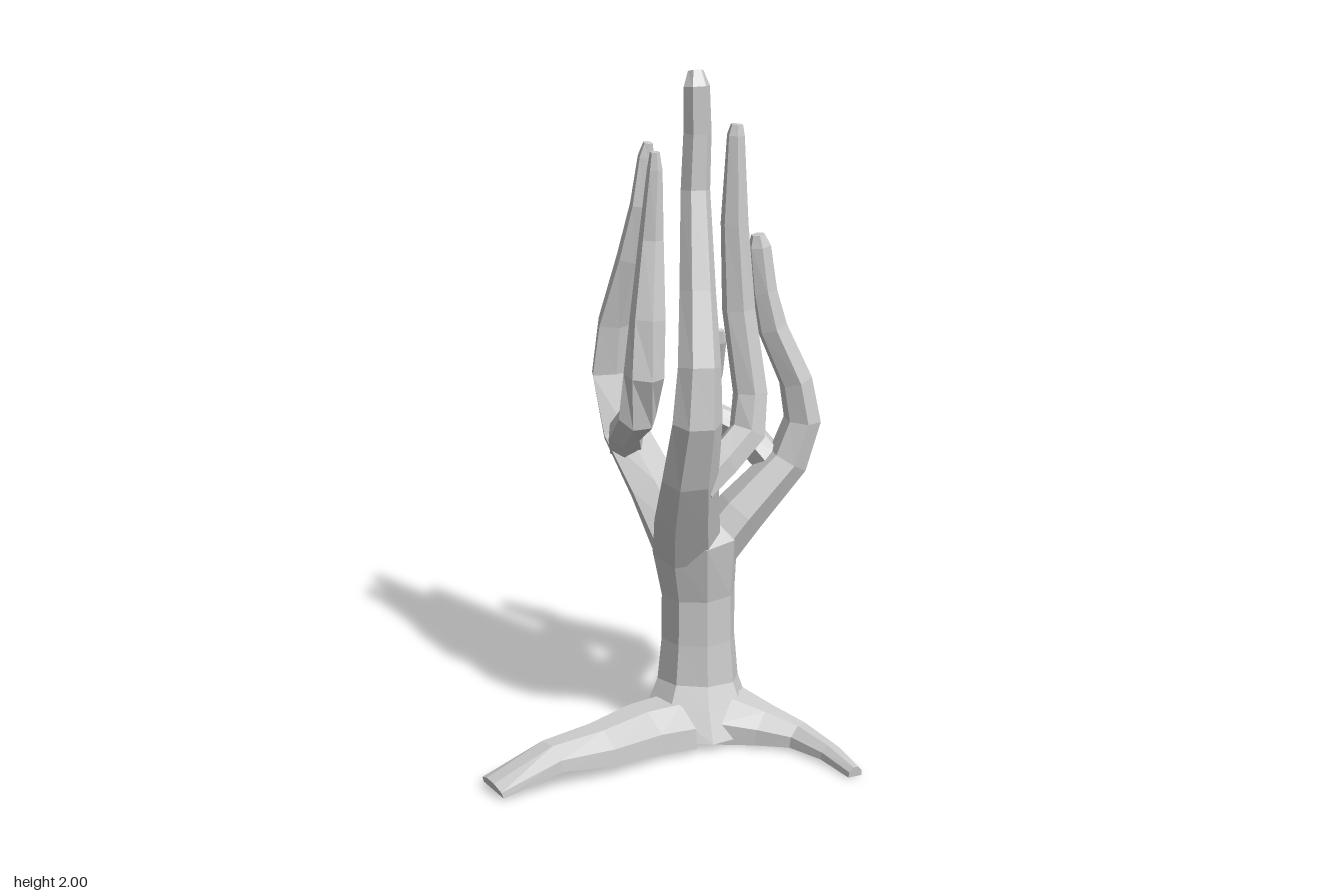
import * as THREE from 'three';

const material = new THREE.MeshStandardMaterial({ color: 0xcccccc, flatShading: true, side: THREE.DoubleSide });

// Cross-sections as [along side, along thickness], counter-clockwise
const polygon = (n) => Array.from({ length: n }, (_, j) => [Math.cos(j / n * Math.PI * 2), Math.sin(j / n * Math.PI * 2)]);
const hexagon = polygon(6);
const flatBottomed = [[1, -1], [0.95, 0.1], [0.35, 1], [-0.35, 1], [-0.95, 0.1], [-1, -1]];

// Lofts a faceted limb through sections [x, y, z, half width along side, half thickness].
function limb(name, side, sections, profile = hexagon) {
  const pts = sections.map(([x, y, z]) => new THREE.Vector3(x, y, z));
  const pos = [], index = [];
  const n = pts.length, sides = profile.length;
  pts.forEach((p, i) => {
    const t = pts[Math.min(i + 1, n - 1)].clone().sub(p).normalize();
    if (i > 0) t.add(p.clone().sub(pts[i - 1]).normalize()).normalize();
    const u = new THREE.Vector3(...side);
    u.addScaledVector(t, -t.dot(u)).normalize();
    const v = t.clone().cross(u);
    const [, , , a, b] = sections[i];
    for (const [pu, pv] of profile) {
      const q = p.clone().addScaledVector(u, a * pu).addScaledVector(v, b * pv);
      pos.push(q.x, Math.max(q.y, 0), q.z);
    }
  });
  for (let i = 0; i < n - 1; i++) {
    for (let j = 0; j < sides; j++) {
      const a = i * sides + j, b = i * sides + (j + 1) % sides;
      index.push(a, b, a + sides, b, b + sides, a + sides);
    }
  }
  const last = (n - 1) * sides;
  for (let j = 1; j < sides - 1; j++) {
    index.push(0, j + 1, j, last, last + j, last + j + 1);
  }
  const geo = new THREE.BufferGeometry();
  geo.setAttribute('position', new THREE.Float32BufferAttribute(pos, 3));
  geo.setIndex(index);
  const flat = geo.toNonIndexed();
  flat.computeVertexNormals();
  const mesh = new THREE.Mesh(flat, material);
  mesh.name = name;
  return mesh;
}

export function createModel() {
  const group = new THREE.Group();
  group.name = 'tree';

  // Trunk, flared at the foot and below the crown
  group.add(limb('trunk', [1, 0, 0], [
    [0.15, 0.02, 0.12, 0.18, 0.18], [0.15, 0.1, 0.115, 0.15, 0.14], [0.155, 0.17, 0.105, 0.122, 0.115],
    [0.155, 0.3, 0.105, 0.11, 0.105], [0.155, 0.44, 0.105, 0.11, 0.105],
    [0.142, 0.6, 0.115, 0.13, 0.135], [0.13, 0.66, 0.1, 0.07, 0.07],
  ], polygon(8)));

  // Main branches rising from the trunk
  group.add(limb('frontBranch', [1, 0, 0], [
    [0.105, 0.59, 0.16, 0.1, 0.075], [0.085, 0.72, 0.235, 0.095, 0.072], [0.07, 0.86, 0.325, 0.082, 0.058],
    [0.073, 1.04, 0.388, 0.072, 0.057], [0.08, 1.2, 0.38, 0.062, 0.052], [0.09, 1.4, 0.318, 0.052, 0.047],
    [0.1, 1.67, 0.25, 0.042, 0.038], [0.105, 1.83, 0.25, 0.04, 0.036], [0.1, 1.96, 0.258, 0.037, 0.033],
    [0.1, 2.0, 0.245, 0.022, 0.022],
  ]));
  group.add(limb('leftBranch', [0, 0, 1], [
    [0.2, 0.58, 0.11, 0.09, 0.075], [0.28, 0.675, 0.11, 0.085, 0.072], [0.42, 0.82, 0.11, 0.067, 0.06],
    [0.462, 0.94, 0.11, 0.062, 0.054], [0.44, 1.06, 0.11, 0.057, 0.049], [0.37, 1.22, 0.1, 0.05, 0.045],
    [0.345, 1.33, 0.1, 0.041, 0.038], [0.33, 1.46, 0.1, 0.031, 0.034], [0.325, 1.495, 0.1, 0.02, 0.02],
  ]));
  group.add(limb('backBranch', [1, 0, -0.7], [
    [0.1, 0.59, 0.07, 0.09, 0.075], [0.05, 0.73, -0.015, 0.09, 0.065], [-0.01, 0.87, -0.115, 0.088, 0.055],
    [-0.025, 1.04, -0.178, 0.098, 0.055], [-0.02, 1.2, -0.155, 0.083, 0.048], [0.01, 1.4, -0.1, 0.06, 0.042],
    [0.03, 1.56, -0.07, 0.043, 0.033], [0.04, 1.7, -0.07, 0.027, 0.022], [0.045, 1.74, -0.065, 0.014, 0.014],
  ]));
  group.add(limb('smallBackBranch', [1, 0, 0], [
    [0.145, 0.61, 0.01, 0.07, 0.06], [0.155, 0.675, -0.115, 0.06, 0.047], [0.19, 0.755, -0.192, 0.048, 0.044],
    [0.24, 0.87, -0.19, 0.037, 0.037], [0.265, 1.02, -0.15, 0.031, 0.029], [0.27, 1.13, -0.105, 0.023, 0.02],
    [0.27, 1.165, -0.095, 0.012, 0.01],
  ]));

  // Forks growing inward from the main branches
  group.add(limb('frontFork', [0, 0.5, 1], [
    [0.1, 0.82, 0.3, 0.06, 0.05], [0.18, 0.88, 0.265, 0.06, 0.052], [0.265, 0.95, 0.22, 0.06, 0.055],
    [0.278, 1.06, 0.2, 0.053, 0.05], [0.25, 1.3, 0.17, 0.048, 0.048], [0.237, 1.55, 0.165, 0.04, 0.04],
    [0.237, 1.8, 0.17, 0.023, 0.026], [0.24, 1.83, 0.17, 0.016, 0.018],
  ]));
  group.add(limb('leftFork', [0.3, 0.8, 0.6], [
    [0.385, 0.8, 0.085, 0.05, 0.05], [0.32, 0.88, 0.01, 0.055, 0.05], [0.21, 0.94, -0.025, 0.048, 0.043],
    [0.185, 1.03, -0.01, 0.038, 0.038], [0.165, 1.16, 0.015, 0.03, 0.03], [0.16, 1.3, 0.03, 0.022, 0.022],
    [0.16, 1.33, 0.03, 0.014, 0.014],
  ]));
  group.add(limb('rightFork', [0.8, 0.6, 0.3], [
    [-0.015, 0.84, -0.075, 0.055, 0.05], [-0.045, 0.91, 0.02, 0.053, 0.048], [-0.035, 0.99, 0.135, 0.058, 0.053],
    [-0.025, 1.12, 0.168, 0.058, 0.053], [-0.01, 1.28, 0.15, 0.052, 0.048], [0.01, 1.5, 0.11, 0.036, 0.033],
    [0.02, 1.7, 0.11, 0.022, 0.022], [0.02, 1.75, 0.11, 0.014, 0.014],
  ]));

  // Roots spread over the ground with flat undersides
  group.add(limb('rightRoot', [0.3, 0, 1], [
    [0.06, 0.075, 0.17, 0.13, 0.055], [-0.05, 0.075, 0.21, 0.11, 0.055], [-0.2, 0.08, 0.305, 0.09, 0.045],
    [-0.35, 0.085, 0.365, 0.073, 0.032], [-0.525, 0.025, 0.41, 0.064, 0.016],
  ], flatBottomed));
  group.add(limb('frontRoot', [1, 0, -0.6], [
    [0.25, 0.075, 0.17, 0.12, 0.06], [0.33, 0.06, 0.24, 0.075, 0.045], [0.41, 0.045, 0.31, 0.048, 0.03],
    [0.465, 0.035, 0.43, 0.034, 0.02], [0.5, 0.02, 0.555, 0.022, 0.015],
  ], flatBottomed));
  group.add(limb('backRoot', [-1, 0, -0.4], [
    [0.18, 0.075, 0.0, 0.13, 0.055], [0.215, 0.08, -0.1, 0.1, 0.055], [0.25, 0.1, -0.22, 0.084, 0.055],
    [0.285, 0.055, -0.36, 0.078, 0.032], [0.35, 0.035, -0.48, 0.06, 0.02], [0.385, 0.02, -0.55, 0.034, 0.012],
  ], flatBottomed));

  return group;
}
